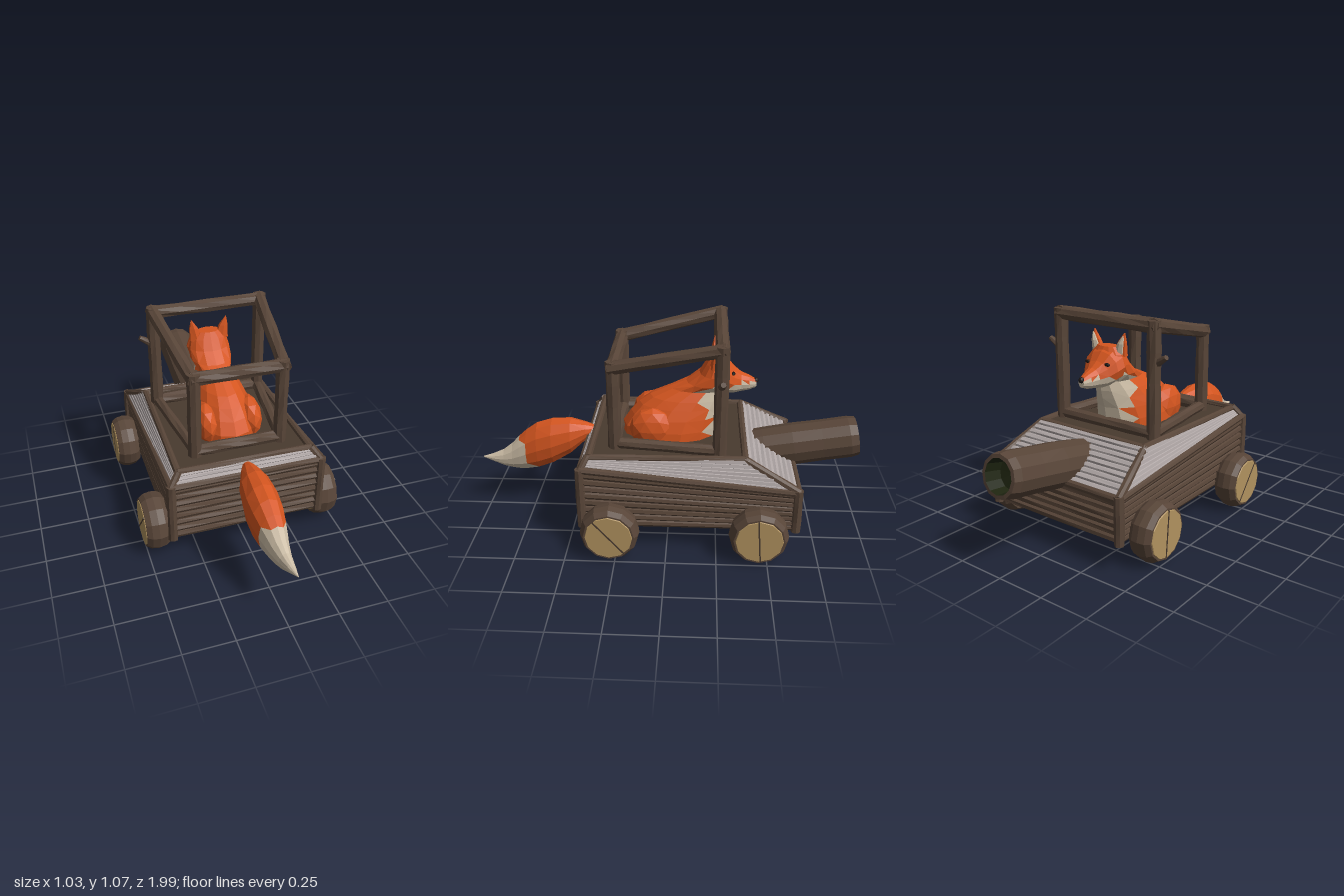
import * as THREE from 'three';

const mat = (name, color, extra = {}) => {
  const m = new THREE.MeshStandardMaterial({ color, flatShading: true, ...extra });
  m.name = name;
  return m;
};
const V = (x, y, z) => new THREE.Vector3(x, y, z);
const UP = V(0, 1, 0);

export function createModel() {
  const model = new THREE.Group();
  model.name = 'foxLogCar';
  const bark = mat('bark', 0x584538);
  const timber = mat('darkTimber', 0x493a2f);
  const cutWood = mat('cutWood', 0xb0925f);
  const pale = mat('paleLogs', 0xb0a7a6);
  const hollow = mat('mossyHollow', 0x1e2410, { side: THREE.DoubleSide });
  const orange = mat('foxOrange', 0xd4551f);
  const cream = mat('foxCream', 0xcbbca5);
  const black = mat('foxBlack', 0x1c1614);

  const group = (name, parent = model) => {
    const g = new THREE.Group();
    g.name = name;
    parent.add(g);
    return g;
  };
  const add = (parent, name, geo, material, pos) => {
    const m = new THREE.Mesh(geo, material);
    m.name = name;
    if (pos) m.position.copy(pos);
    parent.add(m);
    return m;
  };

  // Slightly uneven log from a to b
  let seed = 1;
  const log = (parent, name, a, b, r, material = bark, r2 = r, sides = 8) => {
    const d = b.clone().sub(a), len = d.length();
    const g = new THREE.CylinderGeometry(r2, r, len, sides, 4);
    const p = g.attributes.position;
    seed += 1.7;
    for (let i = 0; i < p.count; i++) {
      const ang = Math.atan2(p.getZ(i), p.getX(i));
      const k = 1 + 0.06 * Math.sin(Math.cos(ang) * 4 + p.getY(i) * 25 + seed);
      p.setXYZ(i, p.getX(i) * k, p.getY(i), p.getZ(i) * k);
    }
    g.computeVertexNormals();
    const m = add(parent, name, g, material, a.clone().add(b).multiplyScalar(0.5));
    m.quaternion.setFromUnitVectors(UP, d.normalize());
    return m;
  };

  // Skin closed rings of points; pick(centroid) returns a material index per face
  const loft = (parent, name, rings, materials, pick = () => 0) => {
    const faces = materials.map(() => []);
    const tri = (a, b, c) => {
      const mid = a.clone().add(b).add(c).divideScalar(3);
      [a, b, c].forEach(q => faces[pick(mid)].push(q.x, q.y, q.z));
    };
    const n = rings[0].length;
    for (let j = 0; j < rings.length - 1; j++) {
      for (let i = 0; i < n; i++) {
        const k = (i + 1) % n;
        const a = rings[j][i], b = rings[j][k], c = rings[j + 1][k], d = rings[j + 1][i];
        if ((i + j) % 2) { tri(a, b, d); tri(b, c, d); } else { tri(a, b, c); tri(a, c, d); }
      }
    }
    [rings[0], rings[rings.length - 1]].forEach((ring, end) => {
      const mid = ring.reduce((s, q) => s.add(q), V(0, 0, 0)).divideScalar(n);
      ring.forEach((q, i) => {
        const next = ring[(i + 1) % n];
        if (end) tri(mid, q, next); else tri(mid, next, q);
      });
    });
    const g = new THREE.BufferGeometry();
    g.setAttribute('position', new THREE.Float32BufferAttribute(faces.flat(), 3));
    let start = 0;
    faces.forEach((f, i) => { g.addGroup(start, f.length / 3, i); start += f.length / 3; });
    g.computeVertexNormals();
    return add(parent, name, g, materials.length > 1 ? materials : materials[0]);
  };
  // Ellipse around c; rings run along v x u
  const oval = (c, u, v, ru, rv, n) => Array.from({ length: n }, (_, i) => {
    const a = i / n * Math.PI * 2;
    return c.clone().addScaledVector(u, Math.sin(a) * ru).addScaledVector(v, Math.cos(a) * rv);
  });
  const X = V(1, 0, 0), Y = V(0, 1, 0), Z = V(0, 0, 1);

  // Car body core
  const body = group('carBody');
  const rect = (x, yR, zR, yF, zF, xF = x) => [V(-x, yR, zR), V(x, yR, zR), V(xF, yF, zF), V(-xF, yF, zF)];
  loft(body, 'bodyCore', [
    rect(0.375, 0.135, 0.41, 0.135, -0.63),
    rect(0.375, 0.44, 0.41, 0.345, -0.63),
    rect(0.335, 0.495, 0.375, 0.495, -0.375, 0.32),
  ], [timber]);

  // Fan of logs between a lower pair and an upper pair of end points
  const fan = (name, a0, b0, a1, b1, n, material, rA, rB = rA) => {
    for (let i = 0; i < n; i++) {
      const t = (i + 0.5) / n;
      log(body, name, a0.clone().lerp(a1, t), b0.clone().lerp(b1, t), rA, material, rB, 7);
    }
  };
  fan('rearWallLog', V(-0.37, 0.135, 0.41), V(0.37, 0.135, 0.41), V(-0.37, 0.44, 0.41), V(0.37, 0.44, 0.41), 8, bark, 0.021);
  fan('frontWallLog', V(-0.37, 0.135, -0.63), V(0.37, 0.135, -0.63), V(-0.37, 0.345, -0.63), V(0.37, 0.345, -0.63), 6, bark, 0.02);
  fan('rearSlopeLog', V(-0.37, 0.455, 0.415), V(0.37, 0.455, 0.415), V(-0.335, 0.5, 0.385), V(0.335, 0.5, 0.385), 3, pale, 0.012);
  fan('hoodLog', V(-0.37, 0.35, -0.63), V(0.37, 0.35, -0.63), V(-0.32, 0.495, -0.38), V(0.32, 0.495, -0.38), 9, pale, 0.018);
  for (const s of [-1, 1]) {
    const P = (x, y, z) => V(s * x, y, z);
    fan('sideWallLog', P(0.375, 0.135, 0.41), P(0.375, 0.135, -0.63), P(0.375, 0.44, 0.41), P(0.375, 0.345, -0.63), 8, bark, 0.021, 0.016);
    fan('sideSlopeLog', P(0.375, 0.45, 0.41), P(0.375, 0.355, -0.63), P(0.337, 0.497, 0.38), P(0.322, 0.495, -0.38), 7, pale, 0.009, 0.02);
    // Corner posts and rails
    log(body, 'rearCornerPost', P(0.383, 0.13, 0.42), P(0.383, 0.455, 0.42), 0.024);
    log(body, 'frontCornerPost', P(0.383, 0.13, -0.64), P(0.383, 0.365, -0.64), 0.024);
    log(body, 'sideRail', P(0.385, 0.45, 0.42), P(0.385, 0.35, -0.64), 0.018);
    log(body, 'topSideRail', P(0.337, 0.495, 0.39), P(0.322, 0.495, -0.385), 0.018);
    log(body, 'hoodEdge', P(0.322, 0.495, -0.375), P(0.383, 0.352, -0.645), 0.02);
    log(body, 'rearSlopeEdge', P(0.385, 0.44, 0.42), P(0.337, 0.505, 0.385), 0.018);
  }
  for (const [y, z, x] of [[0.445, 0.42, 0.385], [0.5, 0.38, 0.34], [0.495, -0.38, 0.325], [0.35, -0.64, 0.385]]) {
    log(body, 'crossRail', V(-x, y, z), V(x, y, z), 0.018);
  }

  // Open cab frame of thick logs
  const cab = group('cabFrame');
  for (const s of [-1, 1]) {
    log(cab, 'rearPost', V(s * 0.22, 0.49, 0.262), V(s * 0.22, 0.95, 0.262), 0.034);
    log(cab, 'frontPost', V(s * 0.285, 0.48, -0.255), V(s * 0.285, 1.06, -0.255), 0.034);
    log(cab, 'roofSideBar', V(s * 0.222, 0.915, 0.28), V(s * 0.287, 1.04, -0.27), 0.034);
    log(cab, 'sideSill', V(s * 0.22, 0.52, 0.27), V(s * 0.285, 0.52, -0.26), 0.028);
    log(cab, 'branchStub', V(s * 0.3, 0.865, -0.255), V(s * 0.358, 0.9, -0.26), 0.021, bark, 0.013);
  }
  log(cab, 'rearRoofBar', V(-0.235, 0.92, 0.262), V(0.235, 0.92, 0.262), 0.034);
  log(cab, 'frontRoofBar', V(-0.3, 1.033, -0.255), V(0.3, 1.033, -0.255), 0.034);
  log(cab, 'rearSill', V(-0.22, 0.52, 0.262), V(0.22, 0.52, 0.262), 0.03);
  log(cab, 'frontSill', V(-0.28, 0.52, -0.255), V(0.28, 0.52, -0.255), 0.03);

  // Wheels cut from a trunk, with split tan faces
  const tyre = new THREE.LatheGeometry([[0, -0.06], [0.125, -0.06], [0.141, -0.035], [0.147, 0],
    [0.141, 0.035], [0.125, 0.06], [0, 0.06]].map(q => new THREE.Vector2(...q)), 12);
  const face = new THREE.CylinderGeometry(0.114, 0.118, 0.006, 12);
  for (const s of [-1, 1]) {
    for (const [z, tilt, name] of [[0.275, 0.7, 'rearWheel'], [-0.455, 0.08, 'frontWheel']]) {
      const wheel = group(name);
      wheel.position.set(s * 0.447, 0.147, z);
      wheel.rotation.z = -s * Math.PI / 2;
      add(wheel, 'barkTyre', tyre, bark);
      add(wheel, 'cutFace', face, cutWood, V(0, 0.061, 0));
      add(wheel, 'innerCutFace', face, cutWood, V(0, -0.061, 0)).rotation.x = Math.PI;
      const split = add(wheel, 'split', new THREE.BoxGeometry(0.23, 0.004, 0.007), timber, V(0, 0.064, 0));
      split.rotation.y = s * tilt;
    }
  }

  // Hollow log cannon on the hood
  const cannon = group('logCannon');
  cannon.position.set(0, 0.375, -0.4);
  cannon.quaternion.setFromUnitVectors(UP, V(0, 0.17, -1).normalize());
  const lathe = pts => new THREE.LatheGeometry(pts.map(q => new THREE.Vector2(...q)), 12);
  add(cannon, 'cannonBark', lathe([[0, 0], [0.1, 0], [0.106, 0.1], [0.11, 0.25], [0.107, 0.4], [0.108, 0.54], [0.1, 0.58], [0.082, 0.582]]), bark);
  add(cannon, 'cannonHollow', lathe([[0.082, 0.582], [0.075, 0.5], [0, 0.49]]), hollow);

  // Fox body: height, back z, chest z, half width
  const fox = group('fox');
  loft(fox, 'foxBody', [
    [0.49, 0.245, -0.25, 0.175], [0.54, 0.24, -0.26, 0.17], [0.6, 0.2, -0.27, 0.152], [0.65, 0.155, -0.285, 0.13],
    [0.69, 0.1, -0.295, 0.112], [0.735, 0.0, -0.3, 0.088], [0.77, -0.085, -0.3, 0.108], [0.82, -0.15, -0.3, 0.108],
    [0.87, -0.18, -0.29, 0.095], [0.905, -0.2, -0.27, 0.06],
  ].map(([y, b, f, w]) => oval(V(0, y, (b + f) / 2), X, Z, w, (b - f) / 2, 14)), [orange, cream],
  c => (c.z < -0.17 && Math.abs(c.x) < 0.1 && c.y < 0.8 ? 1 : 0));
  // Head and muzzle: z, top, bottom, half width
  loft(fox, 'foxHead', [
    [-0.2, 0.89, 0.745, 0.09], [-0.25, 0.905, 0.725, 0.113], [-0.29, 0.885, 0.715, 0.104], [-0.325, 0.845, 0.712, 0.078],
    [-0.36, 0.818, 0.717, 0.05], [-0.4, 0.802, 0.723, 0.035], [-0.437, 0.78, 0.738, 0.017],
  ].map(([z, t, b, w]) => oval(V(0, (t + b) / 2, z), X, Y, w, (t - b) / 2, 12)), [orange, cream],
  c => (c.z < -0.22 && c.y < 0.775 ? 1 : 0));
  add(fox, 'nose', new THREE.IcosahedronGeometry(0.015, 1), black, V(0, 0.773, -0.434));
  for (const s of [-1, 1]) {
    const thigh = add(fox, 'haunch', new THREE.IcosahedronGeometry(1, 1), orange, V(s * 0.115, 0.55, 0.08));
    thigh.scale.set(0.065, 0.11, 0.12);
    const eye = add(fox, 'eye', new THREE.IcosahedronGeometry(1, 1), black, V(s * 0.06, 0.832, -0.318));
    eye.scale.set(0.016, 0.009, 0.009);
    // Pointed ears with pale fronts
    const ear = (name, m, w, d, base, tipY, dz) => loft(fox, name, [
      oval(V(s * 0.066, base, -0.225 + dz), X, Z, w, d, 6),
      oval(V(s * 0.08, (base + tipY) / 2 + 0.01, -0.228 + dz), X, Z, w * 0.62, d * 0.7, 6),
      oval(V(s * 0.092, tipY, -0.225 + dz), X, Z, 0.003, 0.003, 6),
    ], [m]);
    ear('ear', orange, 0.04, 0.025, 0.86, 0.973, 0);
    ear('earInside', cream, 0.029, 0.018, 0.865, 0.96, -0.013);
  }

  // Tail with pale tip: z, top, bottom, half width, sideways drift
  loft(fox, 'tail', [
    [0.37, 0.49, 0.47, 0.012, 0], [0.44, 0.515, 0.42, 0.045, 0], [0.52, 0.535, 0.34, 0.076, -0.003], [0.62, 0.532, 0.275, 0.088, -0.004],
    [0.7, 0.508, 0.243, 0.083, -0.003], [0.76, 0.466, 0.233, 0.07, 0], [0.8, 0.43, 0.232, 0.059, 0.003], [0.84, 0.388, 0.238, 0.047, 0.006],
    [0.89, 0.35, 0.252, 0.033, 0.012], [0.95, 0.325, 0.282, 0.018, 0.02], [1.0, 0.312, 0.306, 0.003, 0.026],
  ].map(([z, t, b, w, x]) => oval(V(x, (t + b) / 2, z), Y, X, (t - b) / 2, w, 12)), [orange, cream],
  c => (c.z > 0.745 + 0.4 * (c.y - 0.3) ? 1 : 0));

  return model;
}
